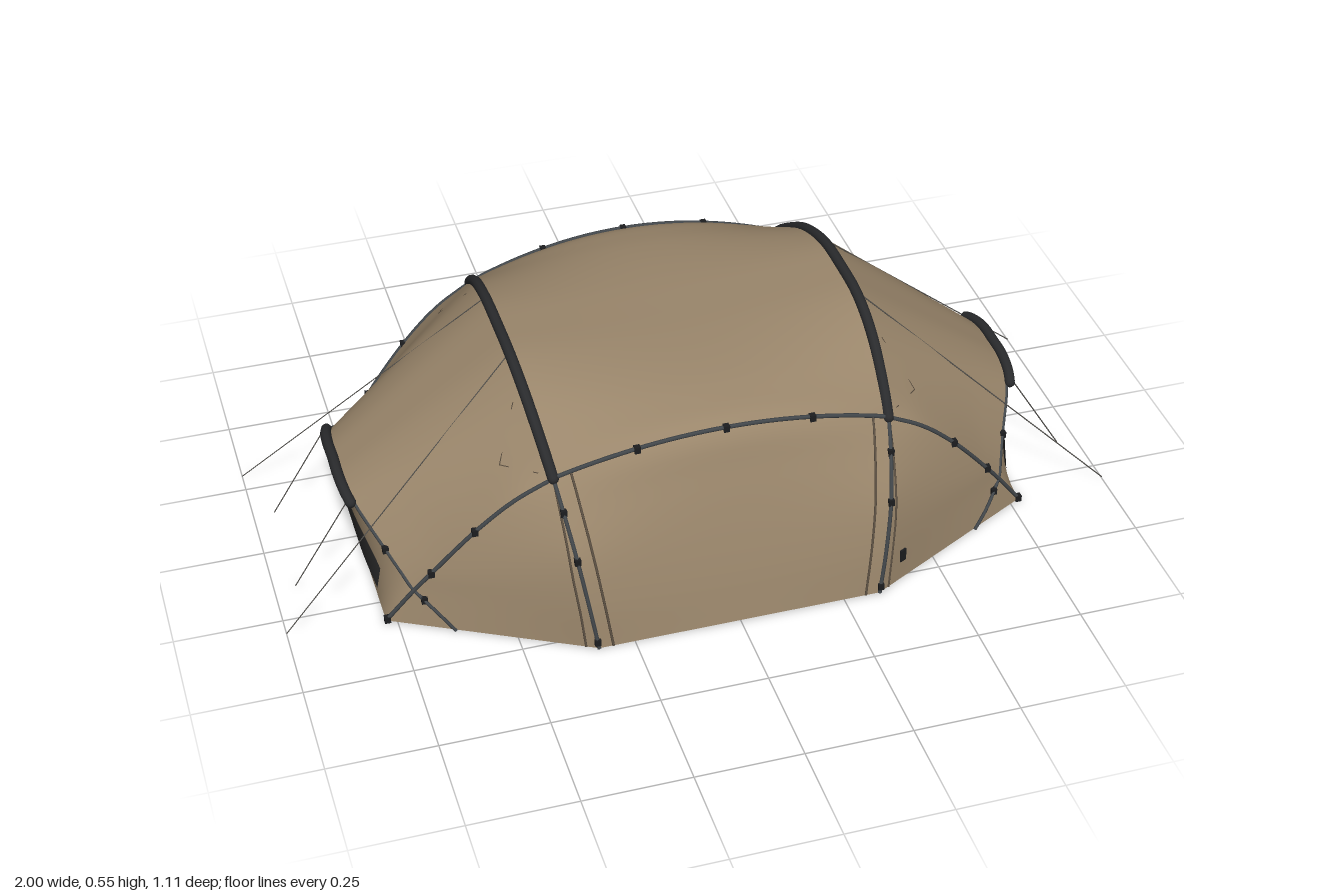
import * as THREE from 'three';

const V = (x, y, z) => new THREE.Vector3(x, y, z);
const mat = (name, color, side = THREE.FrontSide) => {
  const m = new THREE.MeshStandardMaterial({ color, side });
  m.name = name;
  return m;
};

// Half a cross-section (front to middle) continued by its mirror image to the back
function arc(half) {
  const front = half.map(p => V(...p));
  const back = front.slice(0, -1).reverse().map(p => V(p.x, p.y, -p.z));
  return new THREE.CatmullRomCurve3([...front, ...back]);
}

// Profiles as [y, z]; the main arches lean outwards as they rise
const lean = ([y, z]) => [0.335 + 0.15 * y, y, z];
const arch = arc([[0, 0.55], [0.11, 0.535], [0.225, 0.505], [0.315, 0.455], [0.385, 0.40],
  [0.44, 0.33], [0.497, 0.23], [0.53, 0.115], [0.535, 0]].map(lean));
const middle = arc([[0, 0.55], [0.12, 0.528], [0.25, 0.495], [0.36, 0.46], [0.455, 0.42],
  [0.487, 0.33], [0.503, 0.23], [0.511, 0.115], [0.512, 0]].map(([y, z]) => [0, y, z]));
const endArc = arc([[0.71, 0.088, 0.338], [0.752, 0.145, 0.245], [0.80, 0.215, 0.14],
  [0.81, 0.234, 0.07], [0.81, 0.238, 0]]);
// Side pole from the ground corner up to the main arch
const sidePole = new THREE.CatmullRomCurve3([V(0.775, 0, 0.32), V(0.71, 0.088, 0.338),
  V(0.67, 0.14, 0.352), V(0.57, 0.255, 0.375), V(0.48, 0.335, 0.39), V(0.393, 0.385, 0.40)]);

// Centre canopy: u runs from -1 to 1 between the arches, t from front to back
function body(u, t) {
  const a = arch.getPoint(t), m = middle.getPoint(t);
  const p = m.lerp(a, u * u);
  p.x = u * a.x;
  return p;
}
// Side panel between the lower arch and the side pole
const sidePanel = (u, v) => arch.getPoint(v * 0.25).lerp(sidePole.getPoint(v), u);
// Sloping end roof, pulled up along its side poles
function endRoof(u, v) {
  const p = arch.getPoint(0.25 + 0.5 * v).lerp(endArc.getPoint(v), u);
  const s = sidePole.getPoint(1 - 0.8 * u);
  const straight = sidePole.getPoint(1).lerp(sidePole.getPoint(0.2), u);
  const w = Math.pow(2 * v - 1, 4), bulge = s.sub(straight).multiplyScalar(w);
  if (v > 0.5) bulge.z *= -1;
  return p.add(bulge);
}
// End wall from the ground up to the end pole
function endWall(s, v) {
  const e = endArc.getPoint(v);
  return V(0.775, 0, e.z * 0.32 / 0.338).lerp(e, s);
}

// Grid sheet shaped by a rule
function sheet(rule, nu, nv) {
  const g = new THREE.PlaneGeometry(1, 1, nu, nv), p = g.attributes.position;
  for (let i = 0; i < p.count; i++) {
    const q = rule(p.getX(i) + 0.5, p.getY(i) + 0.5);
    p.setXYZ(i, q.x, q.y, q.z);
  }
  g.computeVertexNormals();
  return g;
}

export function createModel() {
  const group = new THREE.Group();
  group.name = 'tent';
  const fabric = mat('tan fabric', 0x9a866b, THREE.DoubleSide);
  const floorMat = mat('dark brown floor', 0x3a302a, THREE.DoubleSide);
  const sleeveMat = mat('black sleeve', 0x2a2b2d);
  const windowMat = mat('dark window mesh', 0x2b2b2b, THREE.DoubleSide);
  const poleMat = mat('grey pole', 0x43484c);
  const clipMat = mat('black clip', 0x1c1d1f);
  const seamMat = mat('brown seam', 0x5d5143);
  const cordMat = mat('grey cord', 0x55534f);

  const add = (name, geo, m) => {
    const mesh = new THREE.Mesh(geo, m);
    mesh.name = name;
    group.add(mesh);
    return mesh;
  };
  const tube = (name, pts, r, m, seg = 32, sides = 6) =>
    add(name, new THREE.TubeGeometry(new THREE.CatmullRomCurve3(pts), seg, r, sides), m);
  const sample = (n, f) => Array.from({ length: n + 1 }, (_, i) => f(i / n));
  const clip = p => add('poleClip', new THREE.BoxGeometry(0.014, 0.016, 0.014), clipMat).position.copy(p);

  // Centre canopy
  add('centreCanopy', sheet((u, v) => body(2 * u - 1, v), 28, 64), fabric);

  // Ground sheet
  const outline = [[0.335, 0.55], [0.775, 0.32], [0.775, -0.32], [0.335, -0.55],
    [-0.335, -0.55], [-0.775, -0.32], [-0.775, 0.32], [-0.335, 0.55]];
  const floor = new THREE.ShapeGeometry(new THREE.Shape(outline.map(p => new THREE.Vector2(...p))));
  add('groundSheet', floor.rotateX(Math.PI / 2), floorMat);

  for (const sx of [1, -1]) {
    const flip = p => V(p.x * sx, p.y, p.z);
    // Sloping roof, end wall and window of each end
    add('endRoof', sheet((u, v) => flip(endRoof(u, v)), 20, 40), fabric);
    add('endWall', sheet((u, v) => flip(endWall(u, v)), 8, 40), fabric);
    add('endWindow', sheet((u, v) => {
      const k = 0.125 + 0.75 * v;
      const edge = Math.max(0, Math.abs(2 * v - 1) - 0.6) / 0.4;
      const p = endWall(0.19 + u * (0.66 - 0.25 * edge), k);
      p.x += 0.005;
      return flip(p);
    }, 6, 40), windowMat);

    // Thick sleeves over the main arch and the end arch
    const capped = (name, pts) => {
      tube(name, pts, 0.013, sleeveMat, 48, 10);
      for (const p of [pts[0], pts[pts.length - 1]])
        add(name + 'Tip', new THREE.SphereGeometry(0.013, 10, 8), sleeveMat).position.copy(p);
    };
    capped('archSleeve', sample(24, t => flip(arch.getPoint(0.25 + 0.5 * t))));
    capped('endSleeve', sample(12, t => flip(endArc.getPoint(0.245 + 0.51 * t)).add(V(0.008 * sx, 0.003, 0))));

    for (const sz of [1, -1]) {
      const place = p => V(p.x * sx, p.y, p.z * sz);
      add('sidePanel', sheet((u, v) => place(sidePanel(u, v)), 12, 16), fabric);

      // Poles running down to the ground
      tube('lowerArchPole', sample(12, t => place(arch.getPoint(0.25 * t))), 0.005, poleMat);
      tube('sidePole', sample(12, t => place(sidePole.getPoint(t))), 0.005, poleMat);
      tube('endPole', [V(0.63, 0, 0.4), V(0.665, 0.045, 0.382),
        ...sample(6, t => endArc.getPoint(0.01 + 0.24 * t))].map(place), 0.004, poleMat);

      // Seams beside the arch
      tube('doorSeam', sample(12, t => place(body(0.9, 0.25 * t))), 0.003, seamMat);
      tube('panelSeam', sample(10, t => place(sidePanel(0.06, t * 0.95))), 0.003, seamMat);

      // Vent flap outline on the end roof
      const vent = [[0.07, 0.04], [0.25, 0.13], [0.07, 0.25]].map(([u, v]) => place(endRoof(u, v)));
      for (let i = 0; i < 2; i++) tube('ventSeam', [vent[i], vent[i + 1]], 0.0015, seamMat, 4, 4);

      // Guy lines
      tube('archGuyLine', [V(0.417, 0.535, 0.115), V(1, 0, 0.3)].map(place), 0.0015, cordMat, 2, 4);
      tube('endGuyLine', [V(0.812, 0.222, 0.14), V(0.95, 0, 0.14)].map(place), 0.0015, cordMat, 2, 4);

      // Clips along the poles and at the ground corners
      [...[0.01, 0.125, 0.195, 0.25].map(t => arch.getPoint(t)),
        ...[0.01, 0.4, 0.6].map(t => sidePole.getPoint(t)),
        V(0.69, 0.07, 0.355), endArc.getPoint(0.125), body(0.52, 0.25)].forEach(p => clip(place(p)));
    }
  }

  // Poles along the front and back of the canopy
  for (const t of [0.25, 0.75]) {
    tube('canopyPole', sample(20, u => body(2 * u - 1, t).add(V(0, 0.002, 0))), 0.005, poleMat, 48);
    clip(body(0, t));
  }

  // Small plain tag near one front corner
  const tag = add('tag', new THREE.BoxGeometry(0.018, 0.032, 0.006), clipMat);
  tag.position.set(0.403, 0.065, 0.511);
  tag.rotation.y = 0.48;

  return group;
}
